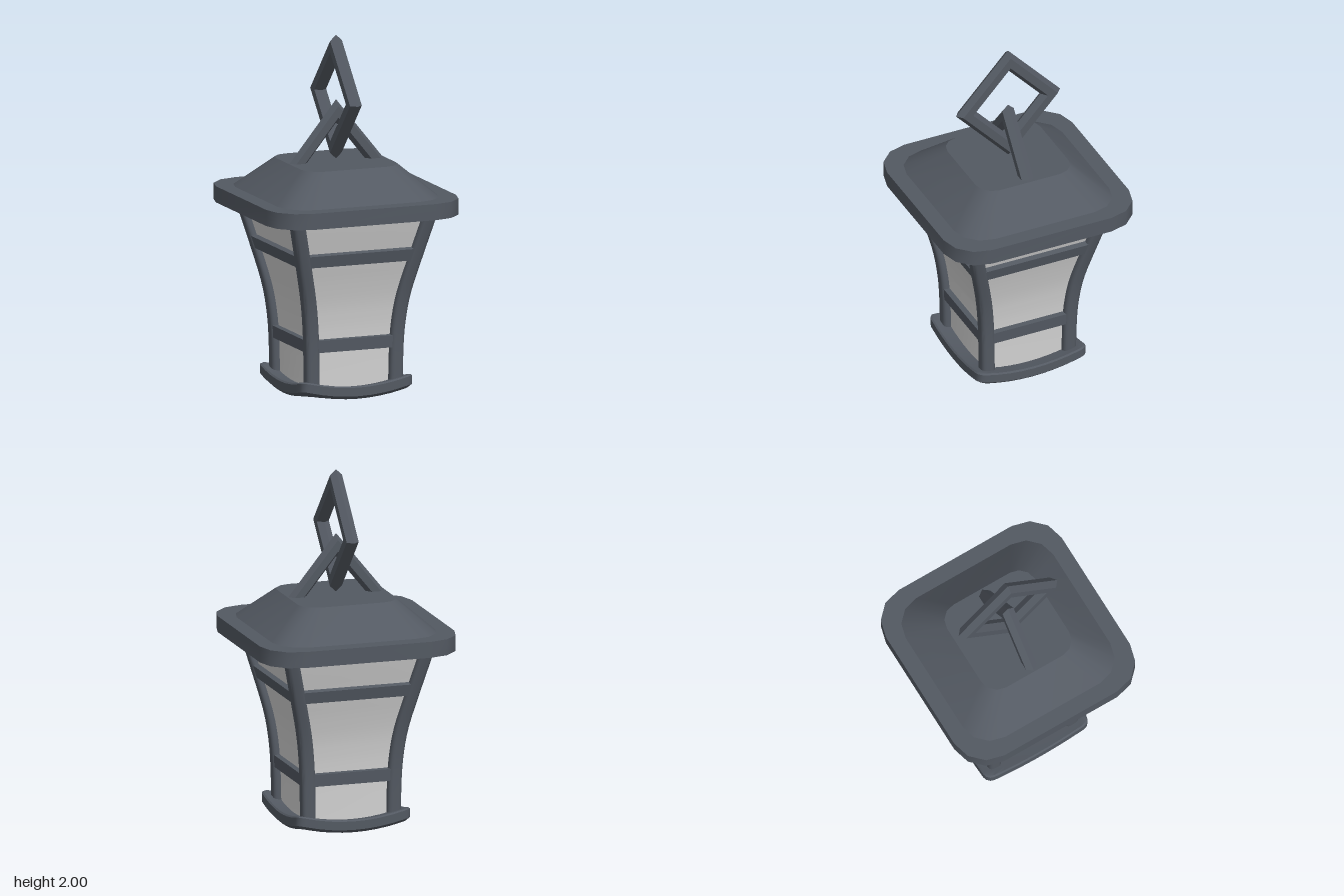
import * as THREE from 'three';
import { toCreasedNormals } from 'three/addons/utils/BufferGeometryUtils.js';

const CREASE = 0.6;

// Rounded square outline: half size h, corner radius r, extra points along each edge
function outline(h, r, edge) {
  const pts = [];
  const signs = [[1, 1], [-1, 1], [-1, -1], [1, -1]];
  signs.forEach(([sx, sz], q) => {
    for (let i = 0; i <= 3; i++) {
      const a = q * Math.PI / 2 + i * Math.PI / 6;
      pts.push([sx * (h - r) + r * Math.cos(a), sz * (h - r) + r * Math.sin(a)]);
    }
    const [nx, nz] = signs[(q + 1) % 4];
    const a = (q + 1) * Math.PI / 2;
    const from = pts[pts.length - 1];
    const to = [nx * (h - r) + r * Math.cos(a), nz * (h - r) + r * Math.sin(a)];
    for (let i = 1; i < edge; i++) {
      const t = i / edge;
      pts.push([from[0] + (to[0] - from[0]) * t, from[1] + (to[1] - from[1]) * t]);
    }
  });
  return pts;
}

// Closed solid through rounded squares {h, r, y, x, z}; lift optionally bends it
function loft(rings, { edge = 1, lift = 0, crease = CREASE } = {}) {
  const pos = [], idx = [];
  const add = (x, y, z) => pos.push(x, y + lift * (x * x + z * z), z);
  let n = 0;
  for (const { h, r, y, x = 0, z = 0 } of rings) {
    const pts = outline(h, r, edge);
    n = pts.length;
    pts.forEach(([px, pz]) => add(px + x, y, pz + z));
  }
  const first = rings[0], last = rings[rings.length - 1];
  const bottom = rings.length * n, top = bottom + 1, end = bottom - n;
  add(first.x || 0, first.y0 ?? first.y, first.z || 0);
  add(last.x || 0, last.y0 ?? last.y, last.z || 0);
  for (let j = 0; j < n; j++) {
    const k = (j + 1) % n;
    for (let i = 0; i < rings.length - 1; i++) {
      const a = i * n + j, b = i * n + k, c = b + n, d = a + n;
      idx.push(a, d, b, b, d, c);
    }
    idx.push(bottom, j, k, top, end + k, end + j);
  }
  const g = new THREE.BufferGeometry();
  g.setAttribute('position', new THREE.Float32BufferAttribute(pos, 3));
  g.setIndex(idx);
  return toCreasedNormals(g, crease);
}

export function createModel() {
  const model = new THREE.Group();
  model.name = 'lantern';
  const metal = new THREE.MeshStandardMaterial({ color: 0x535962 });
  metal.name = 'slate metal';
  const pane = new THREE.MeshStandardMaterial({ color: 0xd2d2d2 });
  pane.name = 'pale glass';

  const part = (name, geometry, material = metal, parent = model) => {
    const mesh = new THREE.Mesh(geometry, material);
    mesh.name = name;
    parent.add(mesh);
    return mesh;
  };

  // Dished base with raised corners: [scale, height]
  const baseRings = [[0.5, -0.01], [0.94, -0.02], [1, -0.008], [1, 0.04], [0.975, 0.05], [0.9, 0.052], [0.5, 0.055]]
    .map(([s, y]) => ({ h: 0.33 * s, r: 0.045 * s, y }));
  baseRings[0].y0 = 0;
  part('base', loft(baseRings, { edge: 8, lift: 0.46, crease: 0.8 }));

  // Flared wall line: [height, distance from centre]
  const curve = new THREE.SplineCurve([[0.08, 0.246], [0.3, 0.25], [0.45, 0.26], [0.6, 0.282], [0.8, 0.33], [1.06, 0.396]]
    .map(([y, c]) => new THREE.Vector2(c, y)));
  const wall = curve.getPoints(15);

  // Glass body
  part('glass', loft(wall.map(p => ({ h: p.x, r: 0.01, y: p.y }))), pane);

  // Corner posts
  for (const sx of [-1, 1]) for (const sz of [-1, 1]) {
    part('cornerPost', loft(wall.map(p => ({ h: 0.039, r: 0.022, y: p.y, x: sx * p.x, z: sz * p.x }))));
  }

  // Cross rails on each side, tilted with the wall
  for (let side = 0; side < 4; side++) {
    const rails = new THREE.Group();
    rails.name = 'sideRails';
    rails.rotation.y = side * Math.PI / 2;
    model.add(rails);
    for (const [name, y, c, tilt] of [['lowerRail', 0.325, 0.252, 0.04], ['upperRail', 0.822, 0.336, 0.24]]) {
      const rail = part(name, new THREE.BoxGeometry(2 * c, 0.068, 0.055), metal, rails);
      rail.position.set(0, y, c + 0.004);
      rail.rotation.x = tilt;
    }
  }

  // Roof: flat brim and sloping cap
  part('brim', loft([{ h: 0.562, r: 0.2, y: 1.04 }, { h: 0.562, r: 0.2, y: 1.13 }]));
  part('roof', loft([{ h: 0.472, r: 0.17, y: 1.13 }, { h: 0.281, r: 0.1, y: 1.3 }]));

  // Four-sided hanging ring and the half ring fixed on the roof
  const link = (segments, arc, width) => {
    const g = new THREE.TorusGeometry(0.28, 0.065, 6, segments, arc);
    g.scale(width, 1, 0.62);
    return toCreasedNormals(g, CREASE);
  };
  part('roofLoop', link(2, Math.PI, 0.81)).position.y = 1.295;
  const ring = part('hangingRing', link(4, Math.PI * 2, 0.915));
  ring.position.y = 1.655;
  ring.rotation.y = Math.PI / 2;

  return model;
}
